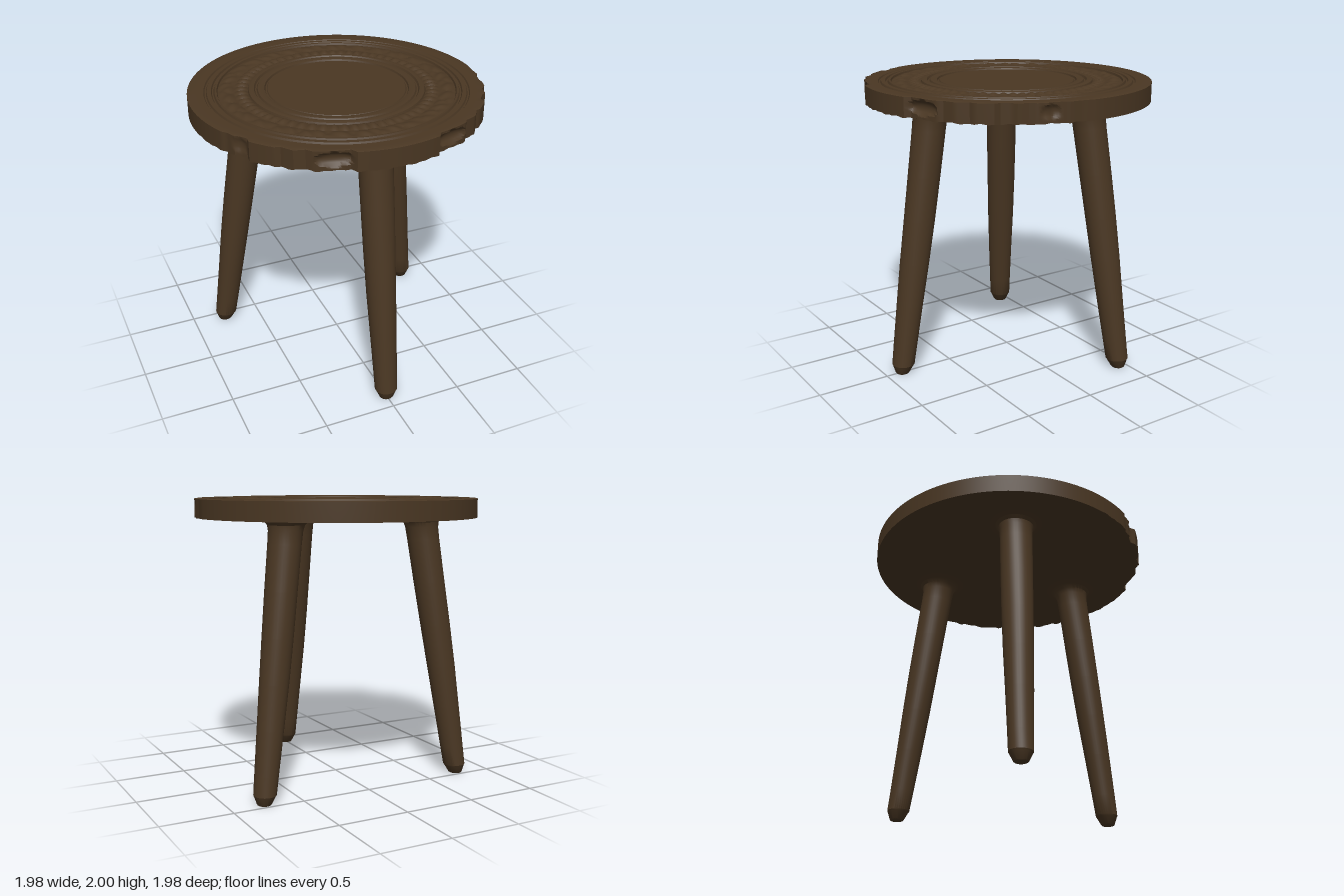
import * as THREE from 'three';
import { toCreasedNormals } from 'three/addons/utils/BufferGeometryUtils.js';

const wood = new THREE.MeshStandardMaterial({ color: 0x4a3723 });
wood.name = 'dark wood';

const SEGMENTS = 360;

// chipped front rim: [degrees from the front, radius]; the back stays round
const CHIPS = [
  [-90, 0.99], [-68, 0.988], [-66, 0.975], [-62, 0.978], [-60.5, 0.962], [-57, 0.957],
  [-55, 0.986], [-45, 0.983], [-43, 0.965], [-38, 0.987], [-34, 0.96], [-31, 0.978],
  [-17.5, 0.945], [-16.5, 0.982], [0, 0.985], [16.5, 0.982], [17.5, 0.95], [31, 0.98],
  [33, 0.965], [38, 0.987], [43, 0.965], [45, 0.982], [52, 0.985], [54, 0.957],
  [58, 0.962], [60, 0.982], [64, 0.965], [67, 0.985], [71, 0.982], [73, 0.97],
  [78, 0.972], [79, 0.986], [84, 0.98], [90, 0.99],
];

function rimRadius(deg) {
  for (let i = 1; i < CHIPS.length; i++) {
    const [a0, r0] = CHIPS[i - 1], [a1, r1] = CHIPS[i];
    if (deg >= a0 && deg <= a1) return r0 + (r1 - r0) * (deg - a0) / (a1 - a0);
  }
  return 0.99;
}

// shallow oval scoops cut into the rim: [degrees, half width, depth]
const SCOOPS = [[-24, 7, 0.035], [24, 7, 0.035], [72, 4, 0.018], [-60, 3, 0.012]];
function scoopDepth(deg, y) {
  let depth = 0;
  for (const [centre, width, amount] of SCOOPS) {
    const d = 1 - ((deg - centre) / width) ** 2 - ((y - 1.93) / 0.045) ** 2;
    if (d > 0) depth += amount * Math.sqrt(d);
  }
  return depth;
}

// carved band: an inner ring of beads and an outer wreath of leaves
function carving(r, a) {
  if (r > 0.59 && r < 0.68) {
    const arch = Math.sin(Math.PI * (r - 0.59) / 0.09);
    return 0.016 * arch * Math.abs(Math.sin(a * 32 + 0.5 * Math.sin(a * 5)));
  }
  if (r > 0.68 && r < 0.79) {
    const t = (r - 0.68) / 0.11;
    const leaf = Math.abs(Math.sin(a * 14 + t * 1.3));
    const vein = Math.sin(a * 42 - t * 5 + Math.sin(a * 9));
    return Math.sin(Math.PI * t) * (0.013 * Math.sqrt(leaf) + 0.004 * vein);
  }
  return 0;
}

// surface of revolution whose points are shifted by shape(r, y, angle) -> [r, y]
function carvedDisc(rows, shape) {
  const position = [], index = [];
  for (const [r, y] of rows) {
    for (let j = 0; j < SEGMENTS; j++) {
      const a = j / SEGMENTS * Math.PI * 2;
      const [rr, yy] = shape(r, y, a);
      position.push(Math.sin(a) * rr, yy, Math.cos(a) * rr);
    }
  }
  for (let i = 0; i < rows.length - 1; i++) {
    for (let j = 0; j < SEGMENTS; j++) {
      const k = (j + 1) % SEGMENTS, p = i * SEGMENTS, q = p + SEGMENTS;
      if (i > 0) index.push(p + j, q + k, p + k);
      if (i < rows.length - 2) index.push(p + j, q + j, q + k);
    }
  }
  const geometry = new THREE.BufferGeometry();
  geometry.setAttribute('position', new THREE.Float32BufferAttribute(position, 3));
  geometry.setIndex(index);
  return toCreasedNormals(geometry, 0.6);
}

function makeSeat() {
  // flat centre, then turned inner beads
  const rows = [
    [0, 1.985], [0.46, 1.985], [0.465, 1.978], [0.475, 1.978], [0.48, 1.99],
    [0.5, 1.995], [0.525, 1.992], [0.532, 1.98], [0.542, 1.98], [0.55, 1.993],
    [0.57, 1.996], [0.585, 1.99], [0.59, 1.978],
  ];
  // floor of the carved band
  for (let i = 1; i < 20; i++) rows.push([0.59 + i * 0.01, 1.98]);
  // outer beads and plain border
  rows.push(
    [0.79, 1.98], [0.795, 1.993], [0.81, 1.995], [0.816, 1.982], [0.826, 1.982],
    [0.832, 1.993], [0.86, 1.993], [0.866, 1.981], [0.876, 1.981], [0.882, 1.99],
    [0.93, 1.99], [0.985, 1.99],
  );
  // rim and underside
  for (let i = 0; i <= 9; i++) rows.push([0.99, 1.988 - i * 0.0143]);
  rows.push([0.93, 1.857], [0.6, 1.86], [0, 1.86]);

  return carvedDisc(rows, (r, y, a) => {
    let deg = a * 180 / Math.PI;
    if (deg > 180) deg -= 360;
    if (r > 0.95) {
      r += rimRadius(deg) - 0.99;
      r -= scoopDepth(deg, y);
      if (y < 1.87 && Math.abs(deg) < 85) y += 0.005 * Math.sin(deg * 0.9) * Math.sin(deg * 0.37);
    } else if (y > 1.9) {
      y += carving(r, a);
    }
    return [r, y];
  });
}

// splayed leg with a chamfered foot and a flare under the seat
function makeLeg() {
  const profile = [
    [0, 0], [0.045, 0], [0.05, 0.006], [0.072, 0.055], [0.078, 0.065], [0.082, 0.2],
    [0.091, 0.5], [0.1, 0.8], [0.106, 1.1], [0.11, 1.4], [0.113, 1.7], [0.116, 1.79],
    [0.125, 1.825], [0.145, 1.847], [0.19, 1.862],
  ].map(([r, y]) => new THREE.Vector2(r, y));
  const geometry = new THREE.LatheGeometry(profile, 32);
  const p = geometry.attributes.position;
  for (let i = 0; i < p.count; i++) {
    const x = p.getX(i), y = p.getY(i), z = p.getZ(i);
    // slight hand-hewn unevenness, then lean outwards towards the floor
    const hewn = 1 + 0.015 * Math.sin(Math.atan2(z, x) * 3 + y * 4);
    p.setXYZ(i, x * hewn, y, z * hewn + 0.88 - 0.152 * y);
  }
  geometry.deleteAttribute('uv');
  return toCreasedNormals(geometry, 0.5);
}

export function createModel() {
  const stool = new THREE.Group();
  stool.name = 'stool';

  const seat = new THREE.Mesh(makeSeat(), wood);
  seat.name = 'carvedSeat';
  stool.add(seat);

  const legGeometry = makeLeg();
  ['frontLeg', 'backLeftLeg', 'backRightLeg'].forEach((name, i) => {
    const leg = new THREE.Mesh(legGeometry, wood);
    leg.name = name;
    leg.rotation.y = i * Math.PI * 2 / 3;
    stool.add(leg);
  });
  return stool;
}
